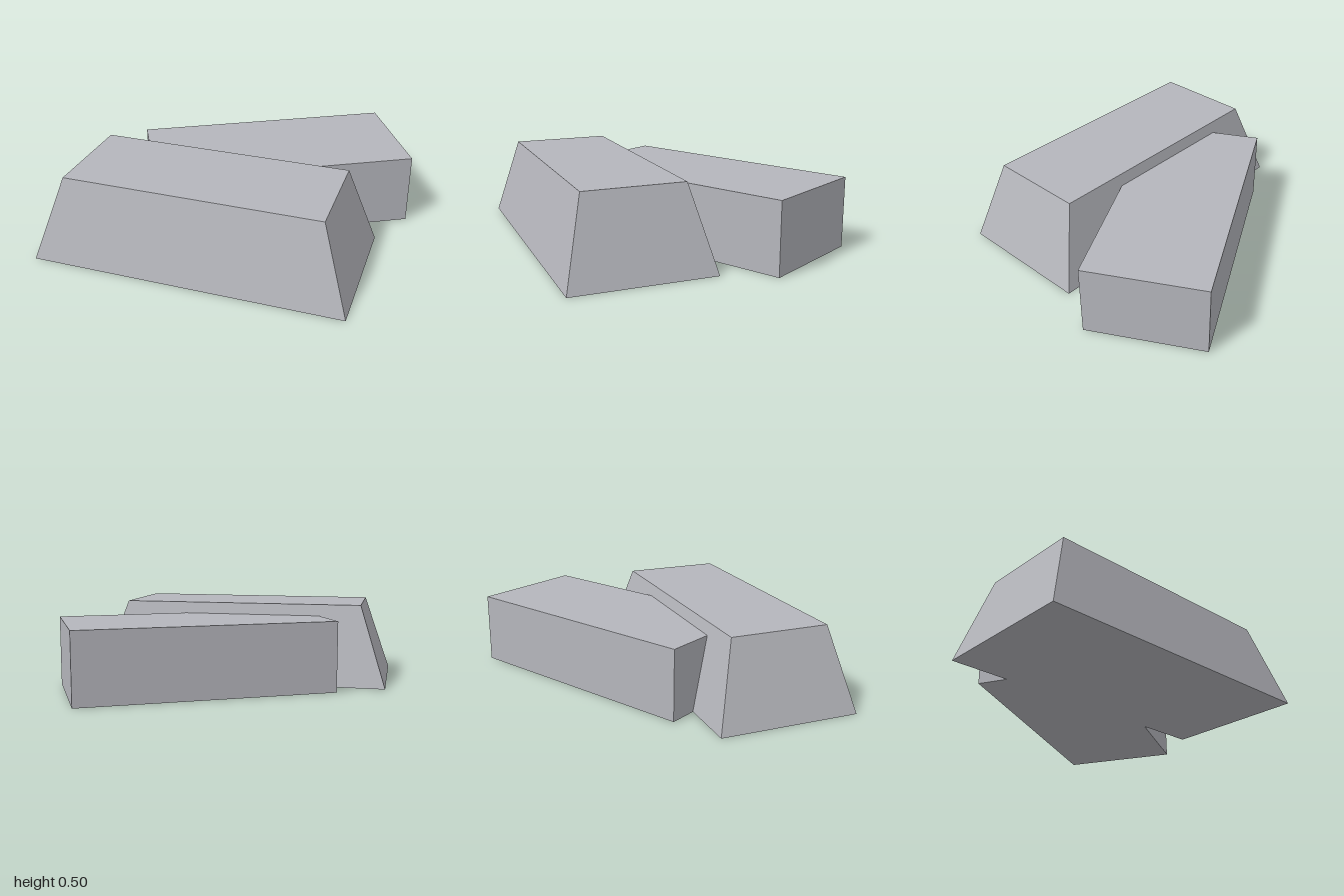
import * as THREE from 'three';

// Box on the ground whose top face may be a smaller, offset rectangle
function taperedBlock(bottom, top, height) {
  const geometry = new THREE.BoxGeometry(1, 1, 1).toNonIndexed();
  const p = geometry.attributes.position;
  for (let i = 0; i < p.count; i++) {
    const up = p.getY(i) > 0;
    const r = up ? top : bottom;
    p.setXYZ(i, p.getX(i) > 0 ? r.x1 : r.x0, up ? height : 0, p.getZ(i) > 0 ? r.z1 : r.z0);
  }
  geometry.computeVertexNormals();
  return geometry;
}

export function createModel() {
  const group = new THREE.Group();
  group.name = 'blocks';
  const grey = new THREE.MeshStandardMaterial({ name: 'silver grey', color: 0xb5b6bc, flatShading: true });

  // Front block with sloping sides
  const frontBlock = new THREE.Mesh(
    taperedBlock(
      { x0: -1, x1: 0.85, z0: 0.025, z1: 0.88 },
      { x0: -0.835, x1: 0.685, z0: 0.15, z1: 0.75 },
      0.5
    ),
    grey
  );
  frontBlock.name = 'taperedFrontBlock';

  // Straight block behind, turned and running into the front one
  const rearBlock = new THREE.Mesh(new THREE.BoxGeometry(1.566, 0.43, 0.712), grey);
  rearBlock.name = 'angledRearBlock';
  rearBlock.position.set(0.138, 0.215, -0.193);
  rearBlock.rotation.y = 0.4995;

  group.add(frontBlock, rearBlock);
  return group;
}
